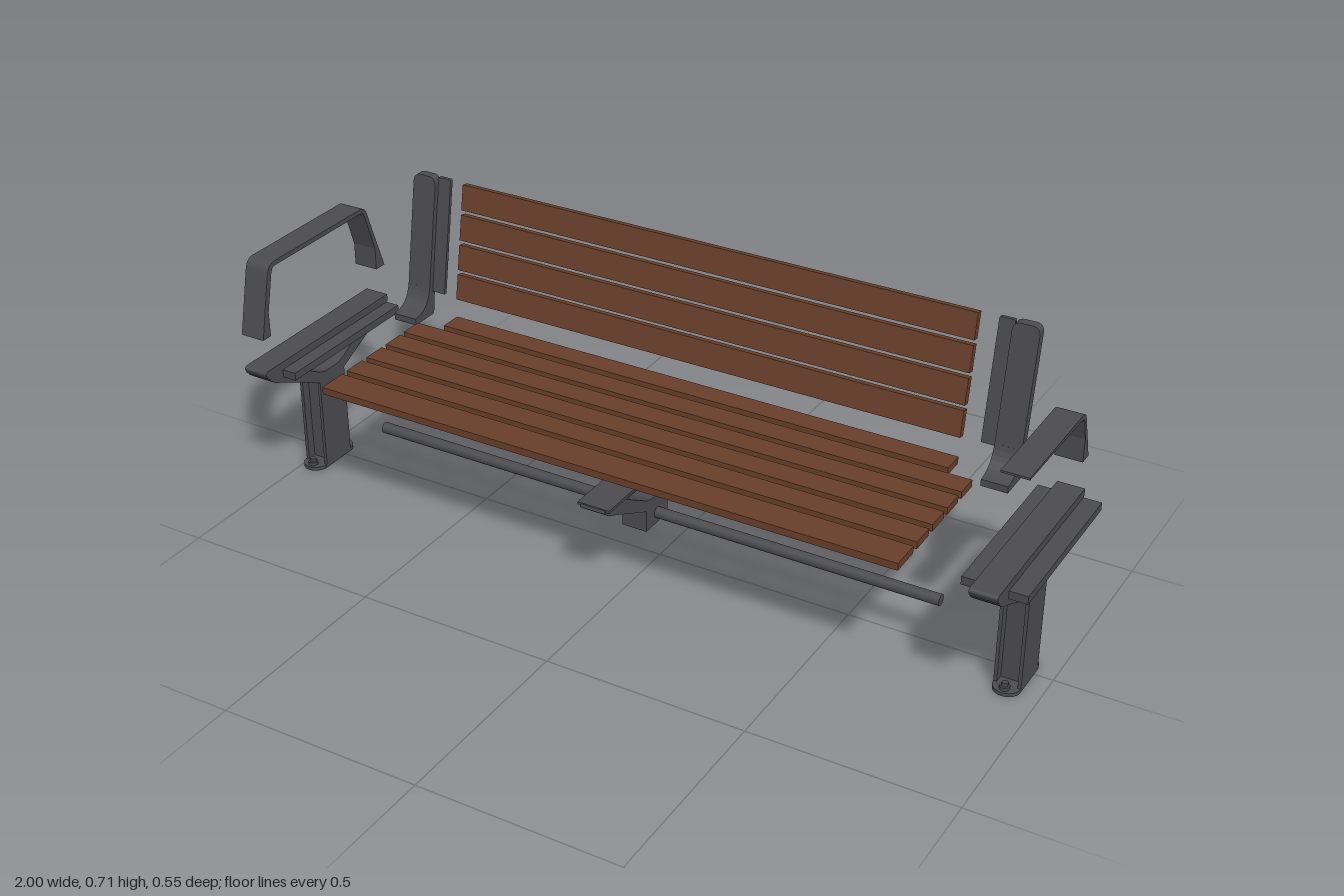
import * as THREE from 'three';

const metal = new THREE.MeshStandardMaterial({ color: 0x4b4a4f });
metal.name = 'dark grey metal';
const wood = new THREE.MeshStandardMaterial({ color: 0x683f2a });
wood.name = 'brown wood';

function add(parent, name, geometry, material = metal) {
  const mesh = new THREE.Mesh(geometry, material);
  mesh.name = name;
  parent.add(mesh);
  return mesh;
}

// Box given by its limits on each axis
function block(x0, x1, y0, y1, z0, z1) {
  return new THREE.BoxGeometry(x1 - x0, y1 - y0, z1 - z0)
    .translate((x0 + x1) / 2, (y0 + y1) / 2, (z0 + z1) / 2);
}

// Side profile drawn in (z, y), extruded across x
function sideProfile(shape, x0, x1) {
  return new THREE.ExtrudeGeometry(shape, { depth: x1 - x0, bevelEnabled: false, curveSegments: 8 })
    .rotateY(-Math.PI / 2).translate(x1, 0, 0);
}

// Entries of two numbers are lines, entries of four are quadratic curves
function outline(points) {
  const s = new THREE.Shape();
  points.forEach((p, i) => {
    if (i === 0) s.moveTo(...p);
    else if (p.length === 4) s.quadraticCurveTo(...p);
    else s.lineTo(...p);
  });
  return s;
}

const lean = 0.174; // backward slope of the backrest
const backZ = (y) => -0.202 - lean * (y - 0.43);

// Y-shaped seat support: top bar, two struts and a saddle
function supportFrame(x0, x1) {
  const s = outline([[0.26, 0.266], [0.262, 0.258], [0.243, 0.243], [0.215, 0.231], [0.078, 0.165],
    [-0.02, 0.165], [-0.157, 0.231], [-0.185, 0.243], [-0.204, 0.258], [-0.202, 0.266]]);
  s.holes.push(outline([[0.165, 0.246], [-0.107, 0.246], [-0.02, 0.195], [0, 0.187, 0.012, 0.187],
    [0.046, 0.187], [0.058, 0.187, 0.078, 0.195]]));
  return sideProfile(s, x0, x1);
}

// Post with foot, seat support and cap; flange limits set where slats attach
function makeLeg(name, x0, x1, f0, f1) {
  const g = new THREE.Group();
  g.name = name;
  const mid = (x0 + x1) / 2, w = x1 - x0;
  add(g, 'post', block(x0, x1, 0, 0.262, -0.02, 0.055));
  for (const x of [x0, x1 - 0.008]) add(g, 'postSide', block(x, x + 0.008, 0, 0.25, 0.05, 0.078));
  add(g, 'footPlate', block(x0, x1, 0, 0.009, -0.025, 0.082));
  for (const [z, b] of [[0.078, 0.092], [-0.02, -0.034]]) {
    add(g, 'footEnd', new THREE.CylinderGeometry(w / 2, w / 2, 0.009, 24).translate(mid, 0.0045, z));
    add(g, 'washer', new THREE.CylinderGeometry(0.012, 0.012, 0.008, 16).translate(mid, 0.013, b));
    add(g, 'nut', new THREE.CylinderGeometry(0.008, 0.008, 0.011, 6).translate(mid, 0.021, b));
  }
  add(g, 'supportFrame', supportFrame(x0, x1)).position.y = 0.081;
  add(g, 'seatCap', sideProfile(outline([[0.262, 0.366], [0.274, 0.366, 0.274, 0.358], [0.268, 0.346],
    [0.235, 0.33], [0.21, 0.33], [0.2, 0.346], [-0.15, 0.346], [-0.16, 0.33], [-0.185, 0.33],
    [-0.215, 0.348], [-0.215, 0.366]]), x0, x1));
  // Flanges leave the middle of the frame free
  if (f0 < x0) add(g, 'flange', block(f0, x0, 0.326, 0.346, -0.21, 0.212));
  if (f1 > x1) add(g, 'flange', block(x1, f1, 0.326, 0.346, -0.21, 0.212));
  return g;
}

// Leaning plate with rounded upper corners
function leaningPlate(x0, x1, y0, y1, thick, r, back) {
  const s = outline([[x0, y0], [x1, y0], [x1, y1 - r], [x1, y1, x1 - r, y1],
    [x0 + r, y1], [x0, y1, x0, y1 - r]]);
  const geo = new THREE.ExtrudeGeometry(s, { depth: thick, bevelEnabled: false, curveSegments: 6 });
  const p = geo.attributes.position;
  for (let i = 0; i < p.count; i++) p.setZ(i, p.getZ(i) - thick - back + backZ(p.getY(i)));
  geo.computeVertexNormals();
  return geo;
}

// Backrest upright with curved foot and inner slat flange
function makeBackBracket(name, x0, x1, f0, f1) {
  const g = new THREE.Group();
  g.name = name;
  add(g, 'upright', leaningPlate(x0, x1, 0.425, 0.708, 0.023, 0.02, 0));
  add(g, 'curvedFoot', sideProfile(outline([[-0.135, 0.35], [-0.135, 0.367],
    [-0.19, 0.37, -0.201, 0.425], [-0.224, 0.425], [-0.214, 0.352], [-0.21, 0.35]]), x0, x1));
  add(g, 'slatFlange', leaningPlate(f0, f1, 0.412, 0.705, 0.009, 0.004, 0.014));
  return g;
}

export function createModel() {
  const model = new THREE.Group();
  model.name = 'bench';

  // Seat slats
  const seat = new THREE.Group();
  seat.name = 'seat';
  model.add(seat);
  for (const [z0, z1] of [[-0.123, -0.064], [-0.047, 0.012], [0.029, 0.09], [0.108, 0.169], [0.187, 0.264]]) {
    add(seat, 'seatSlat', block(-0.773, 0.727, 0.349, 0.367, z0, z1), wood);
  }
  add(seat, 'rearSeatSlat', block(-0.707, 0.66, 0.349, 0.367, -0.2, -0.143), wood);

  // Backrest slats
  const back = new THREE.Group();
  back.name = 'backrest';
  model.add(back);
  for (let i = 0; i < 4; i++) {
    const y = 0.446 + i * 0.076;
    const slat = add(back, 'backSlat', new THREE.BoxGeometry(1.367, 0.065, 0.018), wood);
    slat.position.set(-0.0235, y, backZ(y) - 0.01);
    slat.rotation.x = -Math.atan(lean);
  }

  // Legs
  model.add(makeLeg('rightLeg', -1, -0.935, -1, -0.898));
  model.add(makeLeg('leftLeg', 0.89, 0.955, 0.848, 0.998));

  // Backrest brackets
  model.add(makeBackBracket('rightBackBracket', -0.853, -0.788, -0.789, -0.752));
  model.add(makeBackBracket('leftBackBracket', 0.742, 0.807, 0.705, 0.743));

  // Full armrest
  add(model, 'rightArmrest', sideProfile(outline([[0.272, 0.452], [0.235, 0.61],
    [0.229, 0.636, 0.205, 0.636], [-0.13, 0.636], [-0.15, 0.636, -0.157, 0.61], [-0.212, 0.452],
    [-0.178, 0.452], [-0.178, 0.51], [-0.147, 0.607], [-0.141, 0.624, -0.13, 0.624],
    [0.205, 0.624], [0.217, 0.624, 0.221, 0.607], [0.243, 0.515], [0.243, 0.452]]), -1, -0.935));

  // Half armrest
  add(model, 'leftArmrest', sideProfile(outline([[0.15, 0.584], [-0.145, 0.584],
    [-0.164, 0.584, -0.171, 0.568], [-0.212, 0.452], [-0.178, 0.452], [-0.178, 0.51],
    [-0.163, 0.56], [-0.157, 0.573, -0.142, 0.573], [0.15, 0.579]]), 0.89, 0.955));

  // Cross tube and middle support
  add(model, 'crossTube', new THREE.CylinderGeometry(0.014, 0.014, 1.515, 24)
    .rotateZ(Math.PI / 2).translate(-0.0225, 0.138, 0.028));
  const middle = new THREE.Group();
  middle.name = 'middleSupport';
  model.add(middle);
  add(middle, 'supportFrame', supportFrame(-0.056, 0.009));
  add(middle, 'tubeClamp', block(-0.056, 0.009, 0.11, 0.182, -0.02, 0.078));
  add(middle, 'topPlate', block(-0.065, 0.018, 0.26, 0.267, -0.2, 0.258));

  return model;
}
